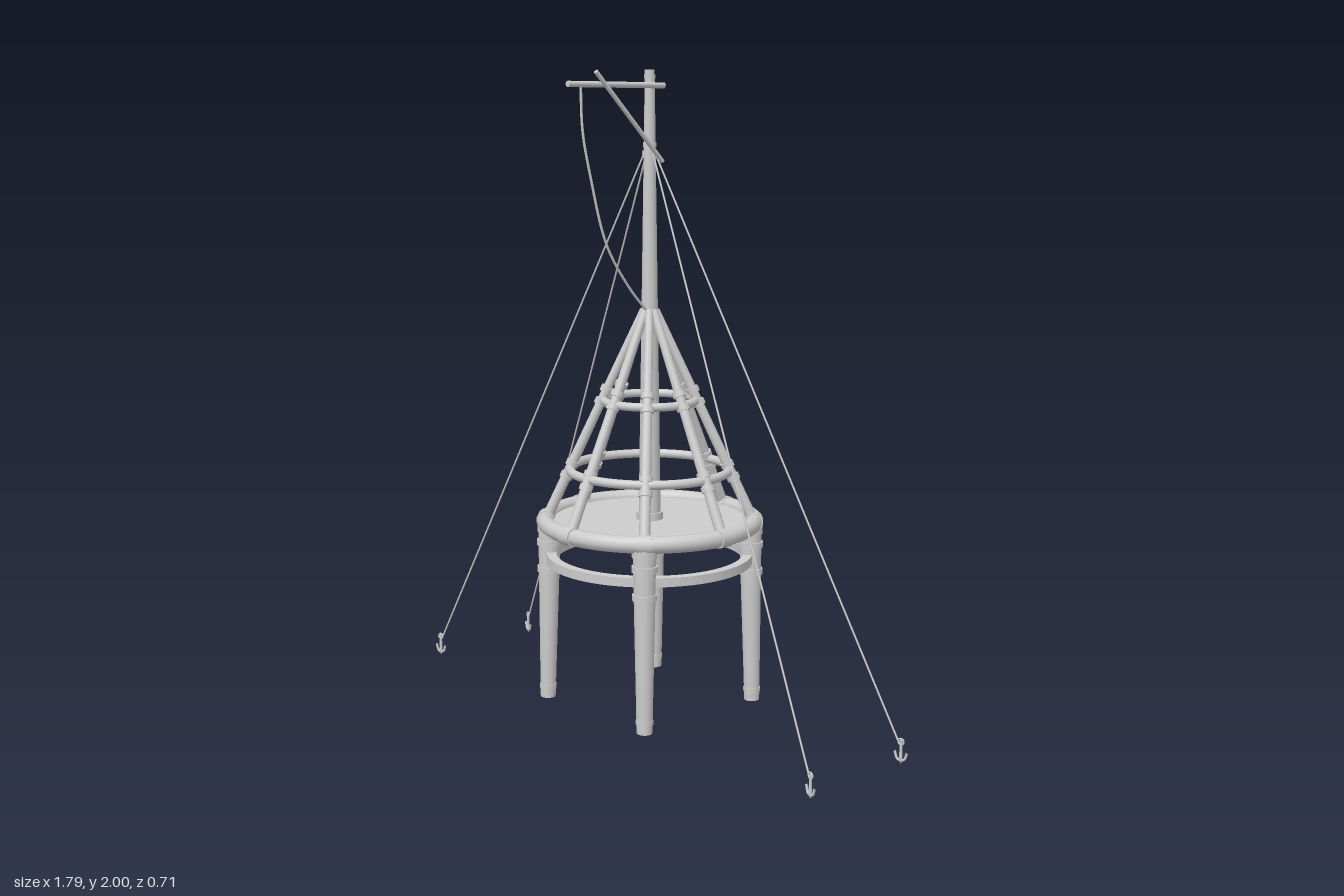
import * as THREE from 'three';

const mat = new THREE.MeshStandardMaterial({ color: 0xcccccc });
const V = (x, y, z) => new THREE.Vector3(x, y, z);
const UP = V(0, 1, 0);

function add(parent, geometry, name) {
  const mesh = new THREE.Mesh(geometry, mat);
  mesh.name = name;
  parent.add(mesh);
  return mesh;
}

// Tapered round pole from a to b
function pole(parent, name, a, b, ra, rb = ra, sides = 14) {
  const dir = b.clone().sub(a);
  const mesh = add(parent, new THREE.CylinderGeometry(rb, ra, dir.length(), sides), name);
  mesh.position.copy(a).add(b).multiplyScalar(0.5);
  mesh.quaternion.setFromUnitVectors(UP, dir.normalize());
  return mesh;
}

// Short collar centred at parameter t of the line a-b
function collar(parent, name, a, b, t, radius, height) {
  const mid = a.clone().lerp(b, t);
  const half = b.clone().sub(a).normalize().multiplyScalar(height / 2);
  return pole(parent, name, mid.clone().sub(half), mid.clone().add(half), radius);
}

function hoop(parent, name, y, radius, tube) {
  const mesh = add(parent, new THREE.TorusGeometry(radius, tube, 10, 56), name);
  mesh.rotation.x = Math.PI / 2;
  mesh.position.y = y;
}

function rope(parent, name, points, radius) {
  const curve = new THREE.CatmullRomCurve3(points);
  return add(parent, new THREE.TubeGeometry(curve, 28, radius, 6), name);
}

export function createModel() {
  const model = new THREE.Group();
  model.name = 'mastPlatform';

  // Round deck with a thick rim
  const deck = add(model, new THREE.CylinderGeometry(0.325, 0.325, 0.016, 56), 'deck');
  deck.position.y = 0.602;
  hoop(model, 'deckRim', 0.606, 0.328, 0.026);

  // Flat brace ring between the legs
  const section = [[0.295, 0.475], [0.325, 0.475], [0.325, 0.503], [0.295, 0.503], [0.295, 0.475]];
  const brace = new THREE.LatheGeometry(section.map(p => new THREE.Vector2(...p)), 56).toNonIndexed();
  brace.computeVertexNormals();
  add(model, brace, 'braceRing');

  // Four tapered legs with collars
  for (const sx of [-1, 1]) for (const sz of [-1, 1]) {
    const leg = new THREE.Group();
    leg.name = 'leg';
    const foot = V(sx * 0.231, 0.022, sz * 0.231), top = V(sx * 0.224, 0.6, sz * 0.224);
    pole(leg, 'legPole', foot, top, 0.024, 0.036, 18);
    for (const [t, r, h] of [[0.06, 0.027, 0.014], [0.73, 0.038, 0.018], [0.88, 0.04, 0.018], [0.96, 0.039, 0.022]])
      collar(leg, 'legCollar', foot, top, t, r, h);
    model.add(leg);
  }

  // Cone of eight struts, lashed to the rim and hoops
  for (let i = 0; i < 8; i++) {
    const strut = new THREE.Group();
    strut.name = 'strut';
    const a = V(0.322, 0.615, 0), b = V(0.018, 1.27, 0);
    pole(strut, 'strutPole', a, b, 0.017, 0.013);
    for (const t of [0.2, 0.26, 0.56, 0.62]) collar(strut, 'strutLashing', a, b, t, 0.021, 0.018);
    collar(strut, 'rimCuff', V(0.328, 0.606, -0.05), V(0.328, 0.606, 0.05), 0.5, 0.029, 0.045);
    strut.rotation.y = i * Math.PI / 4;
    model.add(strut);
  }
  hoop(model, 'lowerHoop', 0.77, 0.25, 0.014);
  hoop(model, 'upperHoop', 0.988, 0.143, 0.013);

  // Tapered mast with collars
  const mastBase = V(0, 0.6, 0), mastTop = V(0, 2, 0);
  pole(model, 'mast', mastBase, mastTop, 0.035, 0.015, 18);
  for (const [t, r, h] of [[0.015, 0.042, 0.025], [0.46, 0.033, 0.03], [0.82, 0.023, 0.02], [0.84, 0.021, 0.015], [0.985, 0.018, 0.012]])
    collar(model, 'mastCollar', mastBase, mastTop, t, r, h);

  // Boom, its diagonal spar and a slack line
  pole(model, 'boom', V(0.022, 1.953, -0.038), V(0.022, 1.953, 0.34), 0.009);
  pole(model, 'diagonalSpar', V(0.036, 1.725, -0.02), V(0.036, 1.99, 0.245), 0.007, 0.007);
  rope(model, 'slackLine', [V(0.022, 1.95, 0.291), V(0.022, 1.82, 0.285), V(0.02, 1.685, 0.254),
    V(0.018, 1.48, 0.19), V(0.014, 1.35, 0.1), V(0.008, 1.265, 0.016)], 0.004);

  // Four guy ropes ending in small double-hooked anchors
  for (const sx of [-1, 1]) for (const sz of [-1, 1]) {
    const guy = new THREE.Group();
    guy.name = 'guyRope';
    const end = V(sx * 0.865, 0.065, sz * 0.192);
    pole(guy, 'rope', end, V(sx * 0.012, 1.765, sz * 0.003), 0.003, 0.003, 6);

    const anchor = new THREE.Group();
    anchor.name = 'anchor';
    pole(anchor, 'shank', V(0, 0.012, 0), V(0, 0.07, 0), 0.005, 0.004, 8);
    for (const s of [-1, 1])
      rope(anchor, 'hook', [V(0, 0.008, 0), V(s * 0.012, 0.014, 0), V(s * 0.02, 0.036, 0)], 0.004);
    const eye = add(anchor, new THREE.TorusGeometry(0.009, 0.003, 6, 14), 'eye');
    eye.position.y = 0.066;
    pole(anchor, 'tip', V(0, 0, 0), V(0, 0.014, 0), 0.001, 0.006, 8);
    anchor.position.set(sx * 0.873, 0, sz * 0.194);
    anchor.rotation.y = -sx * sz * 0.22;
    guy.add(anchor);
    model.add(guy);
  }

  return model;
}
